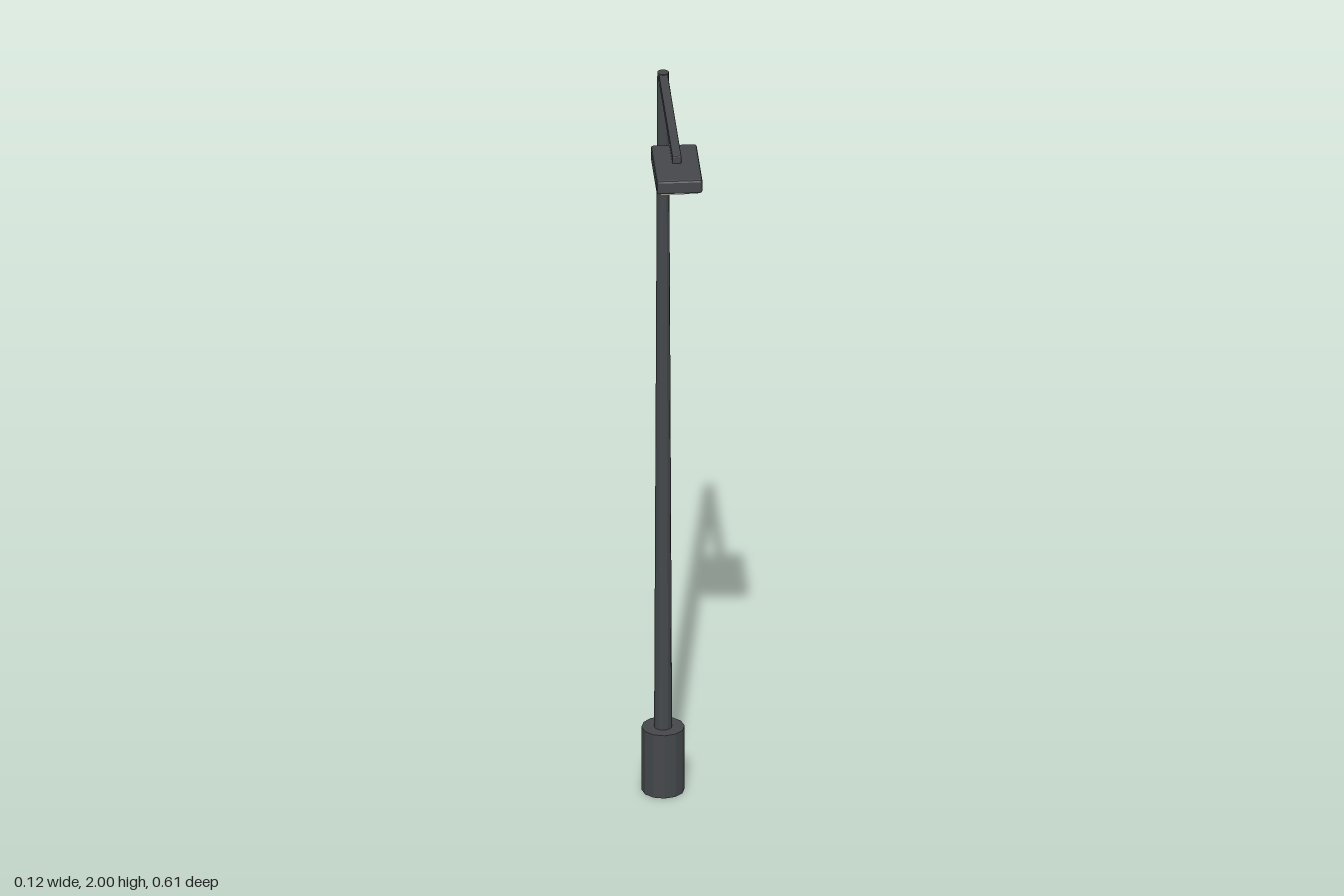
import * as THREE from 'three';
import { RoundedBoxGeometry } from 'three/addons/geometries/RoundedBoxGeometry.js';

const POLE_Z = -0.252;

export function createModel() {
  const group = new THREE.Group();
  const metal = new THREE.MeshStandardMaterial({ color: 0x45484b, flatShading: true });
  const glow = new THREE.MeshStandardMaterial({ color: 0xf0e8c8 });

  const add = (name, geometry, material, x, y, z) => {
    const mesh = new THREE.Mesh(geometry, material);
    mesh.name = name;
    mesh.position.set(x, y, z);
    group.add(mesh);
  };
  // Upright twelve-sided column between two heights
  const column = (name, rTop, rBottom, y0, y1) =>
    add(name, new THREE.CylinderGeometry(rTop, rBottom, y1 - y0, 12), metal, 0, (y0 + y1) / 2, POLE_Z);
  // Box with chamfered edges, given by its extents
  const block = (name, width, y0, y1, z0, z1, bevel) =>
    add(name, new RoundedBoxGeometry(width, y1 - y0, z1 - z0, 1, bevel), metal, 0, (y0 + y1) / 2, (z0 + z1) / 2);

  // Post
  column('base', 0.054, 0.054, 0, 0.175);
  column('pole', 0.0145, 0.0225, 0.17, 2);

  // Horizontal arm carrying the lamp head
  block('arm', 0.023, 1.976, 1.998, POLE_Z, 0.212, 0.003);
  block('lampHead', 0.115, 1.938, 1.976, 0.101, 0.306, 0.006);

  // Light panel under the head
  add('lightPanel', new THREE.BoxGeometry(0.094, 0.012, 0.172), glow, 0, 1.936, 0.2035);

  return group;
}
